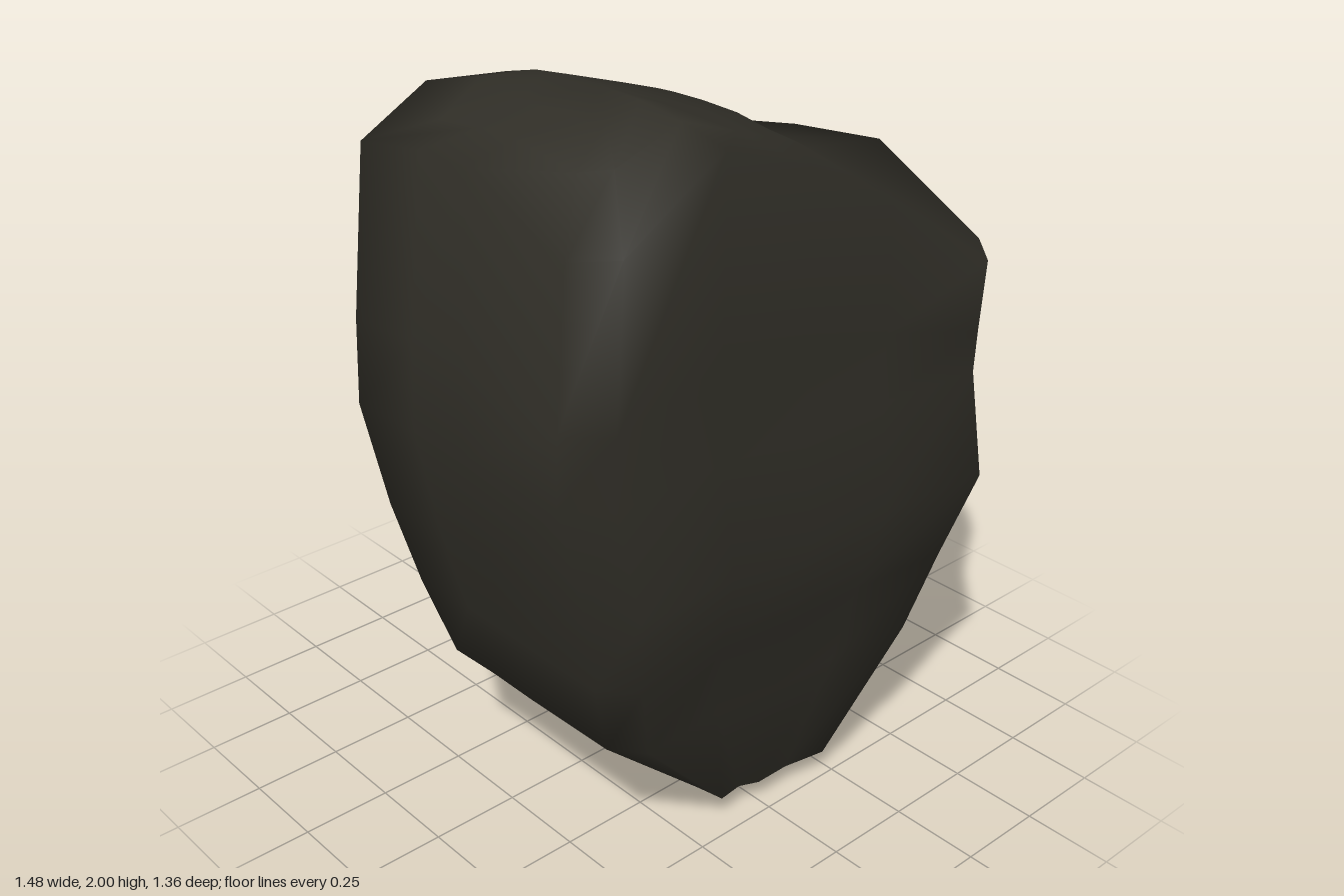
import * as THREE from 'three';
import { mergeVertices } from 'three/addons/utils/BufferGeometryUtils.js';

// Widest outline of the boulder seen from above, as [x, z]
const PLAN = [
  [-0.74, -0.24], [-0.41, -0.4], [-0.12, -0.66], [-0.06, -0.68], [0.26, -0.62], [0.44, -0.45],
  [0.68, -0.31], [0.7, -0.16], [0.74, 0.13], [0.7, 0.56], [0.6, 0.68], [0.25, 0.65],
  [-0.05, 0.65], [-0.3, 0.62], [-0.63, 0.63], [-0.72, 0.53], [-0.73, 0.18], [-0.73, -0.02],
];

// Height of the sloping top along x
const CREST = [[-0.75, 1.87], [-0.68, 1.89], [-0.28, 2.0], [0.05, 1.9], [0.38, 1.7], [0.75, 1.65]];

// Cross-sections: level, left, right, back and front extents
const LEVELS = [
  [0.1, -0.16, 0.27, -0.32, 0.49],
  [0.42, -0.54, 0.55, -0.48, 0.56],
  [0.65, -0.61, 0.63, -0.6, 0.61],
  [0.9, -0.68, 0.7, -0.64, 0.68],
  [1.2, -0.74, 0.665, -0.67, 0.65],
  [1.48, -0.73, 0.68, -0.68, 0.645],
  [2.0, -0.68, 0.74, -0.42, 0.62],
];

// Domed from front to back, with worn-down front corners
function topHeight(x, z) {
  const i = Math.max(1, CREST.findIndex(([cx]) => cx >= x));
  const [x0, y0] = CREST[i - 1], [x1, y1] = CREST[i];
  const dome = (z > 0.15 ? 0.08 : 0.05) * ((z - 0.15) / 0.5) ** 2;
  const corner = 2.5 * Math.max(0, Math.abs(x) - 0.45) * Math.max(0, z - 0.3);
  return y0 + (y1 - y0) * (x - x0) / (x1 - x0) - dome - corner;
}

function section([level, left, right, back, front]) {
  return PLAN.map(([px, pz]) => {
    const x = px * (px < 0 ? -left : right) / 0.74;
    // Low sections shrink at the back; high ones only have the back bulge cut off
    let z = pz * front / 0.68;
    if (pz < 0) z = level > 1 ? Math.max(pz, back) : pz * -back / 0.68;
    // Upper sections lean to follow the sloping top; the lowest tilts slightly
    const y = level > 1.2
      ? 1.2 + (level - 1.2) / 0.8 * (topHeight(x, z) - 1.2)
      : level - (level < 0.2 ? 0.06 * z : 0);
    return [x, y, z];
  });
}

function boulderGeometry() {
  const sections = LEVELS.map(section);
  const foot = sections[0], rim = sections[sections.length - 1];

  // Rounded bottom closing in on the tip
  for (const s of [0.6, 0]) {
    sections.unshift(foot.map(([x, y, z]) => [0.04 + (x - 0.04) * s, y * s * s, 0.15 + (z - 0.15) * s]));
  }
  // Domed top closing in on the summit
  for (const s of [0.66, 0.33, 0]) {
    sections.push(rim.map(([x, , z]) => {
      const cx = -0.28 + (x + 0.28) * s, cz = 0.15 + (z - 0.15) * s;
      return [cx, topHeight(cx, cz), cz];
    }));
  }

  const n = PLAN.length;
  const index = [];
  for (let j = 0; j < sections.length - 1; j++) {
    for (let i = 0; i < n; i++) {
      const a = j * n + i, b = j * n + (i + 1) % n;
      if (j > 0) index.push(a, a + n, b);
      if (j < sections.length - 2) index.push(b, a + n, b + n);
    }
  }
  const geometry = new THREE.BufferGeometry();
  geometry.setAttribute('position', new THREE.Float32BufferAttribute(sections.flat(2), 3));
  geometry.setIndex(index);
  const merged = mergeVertices(geometry, 1e-4);
  merged.computeVertexNormals();
  return merged;
}

export function createModel() {
  const group = new THREE.Group();
  group.name = 'rock';
  const boulder = new THREE.Mesh(boulderGeometry(), new THREE.MeshStandardMaterial({ color: 0x302e27 }));
  boulder.name = 'boulder';
  group.add(boulder);
  return group;
}
